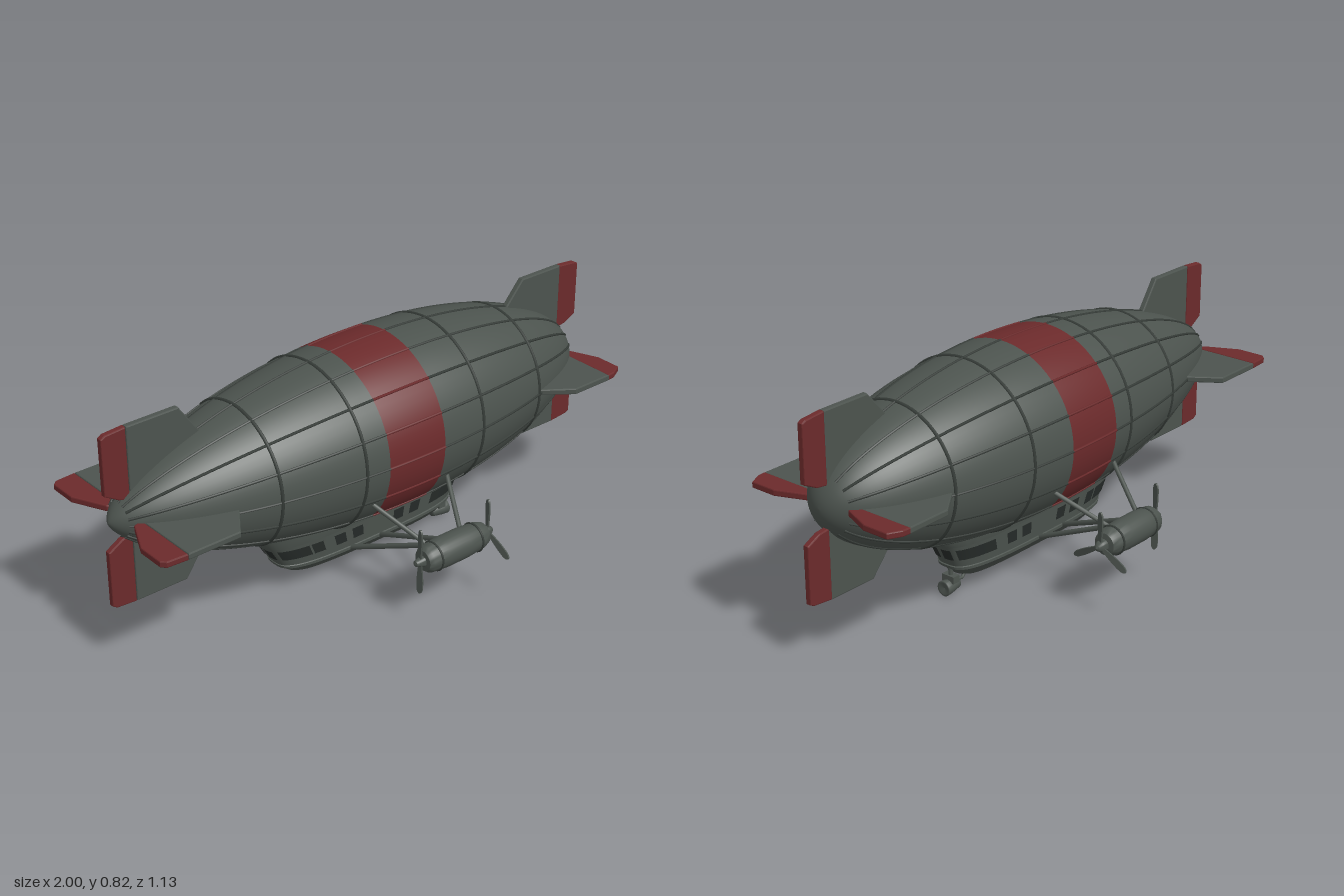
import * as THREE from 'three';
import { toCreasedNormals } from 'three/addons/utils/BufferGeometryUtils.js';

const material = (name, color, side = THREE.FrontSide) => {
  const m = new THREE.MeshStandardMaterial({ color, side });
  m.name = name;
  return m;
};

export function createModel() {
  const grey = material('hull grey', 0x4c534e);
  const dark = material('dark seam grey', 0x363c38);
  const red = material('band red', 0x6b2a2b);
  const glass = material('window dark', 0x262b29, THREE.DoubleSide);
  const model = new THREE.Group();
  model.name = 'airship';
  const AXIS = 0.505;

  const add = (parent, name, geometry, mat) => {
    const mesh = new THREE.Mesh(geometry, mat);
    mesh.name = name;
    parent.add(mesh);
    return mesh;
  };
  const V = (x, y, z) => new THREE.Vector3(x, y, z);
  // Round bar between two points
  const bar = (parent, name, a, b, r, mat = grey) => {
    const d = b.clone().sub(a);
    const mesh = add(parent, name, new THREE.CylinderGeometry(r, r, d.length(), 10), mat);
    mesh.position.copy(a).addScaledVector(d, 0.5);
    mesh.quaternion.setFromUnitVectors(V(0, 1, 0), d.normalize());
  };
  // Lathe lying along x, from [x, radius] pairs
  const latheX = (points, segments) => new THREE.LatheGeometry(
    points.map(([x, r]) => new THREE.Vector2(r, x)), segments).rotateZ(-Math.PI / 2);

  // Hull: fuller at the +x end, more tapered at the -x end
  const hull = new THREE.Group();
  hull.name = 'hull';
  hull.position.y = AXIS;
  model.add(hull);
  const hullRadius = x => {
    const t = x < 0.06 ? (x - 0.06) / 1.05 : (x - 0.06) / 0.88;
    return 0.307 * Math.pow(Math.max(0, 1 - t * t), x < 0.06 ? 0.65 : 0.5);
  };
  const hullPart = (name, x0, x1, mat, ease) => {
    const pts = [];
    for (let i = 0; i <= 32; i++) {
      const x = x0 + (x1 - x0) * ease(i / 32);
      pts.push([x, hullRadius(x)]);
    }
    add(hull, name, latheX(pts, 64), mat);
  };
  hullPart('tailEnvelope', -0.99, -0.12, grey, s => 1 - Math.cos(s * Math.PI / 2));
  hullPart('redBand', -0.12, 0.11, red, s => s);
  hullPart('noseEnvelope', 0.11, 0.94, grey, s => Math.sin(s * Math.PI / 2));

  // Hoops and lengthwise ribs
  for (const x of [-0.51, -0.21, 0.29, 0.6]) {
    const hoop = add(hull, 'hoop', new THREE.TorusGeometry(hullRadius(x), 0.006, 6, 64), dark);
    hoop.rotation.y = Math.PI / 2;
    hoop.position.x = x;
  }
  const ribPath = (x0, x1) => {
    const pts = [];
    for (let i = 0; i <= 20; i++) {
      const x = x0 + (x1 - x0) * i / 20;
      pts.push(V(x, hullRadius(x), 0));
    }
    return new THREE.TubeGeometry(new THREE.CatmullRomCurve3(pts), 30, 0.0045, 6);
  };
  const ribs = [['tailRib', ribPath(-0.95, -0.12), dark], ['bandRib', ribPath(-0.12, 0.11), red],
    ['noseRib', ribPath(0.11, 0.9), dark]];
  for (let i = 0; i < 16; i++)
    for (const [name, geo, mat] of ribs) add(hull, name, geo, mat).rotation.x = i * Math.PI / 8;

  // Fins: outline is [x, distance from axis]; each has a grey blade and red edge
  const plate = points => {
    const shape = new THREE.Shape(points.map(p => new THREE.Vector2(...p)));
    return new THREE.ExtrudeGeometry(shape, { depth: 0.014, bevelEnabled: true,
      bevelSize: 0.004, bevelThickness: 0.004, bevelOffset: -0.004, bevelSegments: 2 }).translate(0, 0, -0.007);
  };
  const tailBlade = [[-0.6, 0.13], [-0.65, 0.21], [-0.72, 0.31], [-0.91, 0.31], [-0.91, 0.04]];
  const fins = [
    ['tailFin', [0, 2], tailBlade,
      [[-0.912, 0.31], [-0.985, 0.305], [-1, 0.295], [-1, 0.1], [-0.95, 0.07], [-0.912, 0.06]]],
    ['tailPlane', [1, 3], tailBlade,
      [[-0.912, 0.31], [-0.985, 0.305], [-1, 0.29], [-1, 0.19], [-0.945, 0.075], [-0.912, 0.06]]],
    ['noseFin', [0, 2], [[0.6, 0.15], [0.66, 0.23], [0.73, 0.31], [0.912, 0.31], [0.912, 0.04]],
      [[0.91, 0.31], [0.985, 0.303], [1, 0.295], [1, 0.1], [0.95, 0.075], [0.91, 0.07]]],
    ['nosePlane', [1, 3], [[0.55, 0.15], [0.6, 0.23], [0.71, 0.31], [0.872, 0.31], [0.872, 0.04]],
      [[0.87, 0.31], [0.9, 0.308], [0.945, 0.285], [0.945, 0.19], [0.9, 0.08], [0.87, 0.07]]],
  ];
  for (const [name, turns, blade, edge] of fins)
    for (const k of turns) {
      const fin = new THREE.Group();
      fin.name = name;
      fin.rotation.x = k * Math.PI / 2;
      add(fin, name + 'Blade', plate(blade), grey);
      add(fin, name + 'Edge', plate(edge), red);
      hull.add(fin);
    }

  // Gondola: rounded plan section lofted over height; rows are [y, xMin, xMax, halfWidth]
  const N = 3.2;
  const rows = [[0.05, -0.2, 0.24, 0.02], [0.052, -0.29, 0.31, 0.05], [0.07, -0.325, 0.35, 0.073],
    [0.095, -0.36, 0.375, 0.087], [0.1, -0.368, 0.385, 0.096], [0.11, -0.372, 0.388, 0.096],
    [0.112, -0.37, 0.384, 0.092], [0.195, -0.42, 0.425, 0.099], [0.197, -0.425, 0.432, 0.105],
    [0.225, -0.44, 0.45, 0.11], [0.28, -0.46, 0.465, 0.11]];
  const rowAt = y => {
    let i = 0;
    while (i < rows.length - 2 && rows[i + 1][0] < y) i++;
    const [a, b] = [rows[i], rows[i + 1]], s = (y - a[0]) / (b[0] - a[0]);
    return a.map((v, k) => v + (b[k] - v) * s);
  };
  const skin = (t0, t1, steps, levels, offset) => {
    const pos = [], index = [], w = steps + 1;
    for (const level of levels) {
      const [y, x0, x1, hz] = rowAt(level);
      for (let i = 0; i <= steps; i++) {
        const t = t0 + (t1 - t0) * i / steps, c = Math.cos(t), s = Math.sin(t);
        pos.push((x0 + x1) / 2 + Math.sign(c) * Math.abs(c) ** (2 / N) * ((x1 - x0) / 2 + offset), y,
          Math.sign(s) * Math.abs(s) ** (2 / N) * (hz + offset));
      }
    }
    for (let j = 0; j < levels.length - 1; j++)
      for (let i = 0; i < steps; i++) {
        const a = j * w + i;
        index.push(a, a + w, a + 1, a + 1, a + w, a + w + 1);
      }
    const geo = new THREE.BufferGeometry();
    geo.setAttribute('position', new THREE.Float32BufferAttribute(pos, 3));
    geo.setIndex(index);
    geo.computeVertexNormals();
    return geo;
  };
  const gondola = new THREE.Group();
  gondola.name = 'gondola';
  model.add(gondola);
  add(gondola, 'gondolaBody', toCreasedNormals(skin(0, Math.PI * 2, 72, rows.map(r => r[0]), 0), 0.6), grey);
  const keel = new THREE.Shape();
  keel.absellipse(0.02, 0, 0.22, 0.02, 0, Math.PI * 2);
  add(gondola, 'gondolaFloor', new THREE.ShapeGeometry(keel, 24).rotateX(Math.PI / 2).translate(0, 0.05, 0), grey);
  const pane = (name, t0, t1) => add(gondola, name, skin(t0, t1, 4, [0.14, 0.182], 0.003), glass);
  // Side windows by fraction of length, end windows by fraction of width
  const tx = u => Math.acos(Math.sign(u) * Math.abs(u) ** (N / 2));
  const tz = v => Math.asin(Math.sign(v) * Math.abs(v) ** (N / 2));
  for (const u of [-0.78, -0.62, -0.4, -0.22, 0.22, 0.4, 0.64, 0.8])
    for (const s of [1, -1]) pane('sideWindow', s * tx(u - 0.055), s * tx(u + 0.055));
  for (const v of [-0.72, -0.25, 0.25, 0.72]) {
    pane('noseWindow', tz(v - 0.17), tz(v + 0.17));
    pane('rearWindow', Math.PI - tz(v - 0.17), Math.PI - tz(v + 0.17));
  }

  // Lamp slung beneath the front of the gondola
  const lamp = new THREE.Group();
  lamp.name = 'searchlight';
  model.add(lamp);
  bar(lamp, 'lampBracket', V(0.29, 0.06, 0), V(0.31, 0.035, 0), 0.006);
  bar(lamp, 'lampArm', V(0.31, 0.035, 0), V(0.36, 0.04, 0), 0.006);
  bar(lamp, 'lampHanger', V(0.365, 0.1, 0), V(0.365, 0.05, 0), 0.008);
  add(lamp, 'lampYoke', new THREE.BoxGeometry(0.03, 0.025, 0.05), grey).position.set(0.365, 0.055, 0);
  add(lamp, 'lampBody', latheX([[-0.032, 0], [-0.03, 0.018], [0.01, 0.025], [0.035, 0.027], [0.035, 0.02],
    [0.03, 0]], 20), grey).position.set(0.365, 0.027, 0);

  // Engine pods with struts and propellers, one on each side
  const bladeShape = new THREE.Shape();
  bladeShape.moveTo(-0.005, 0);
  bladeShape.bezierCurveTo(-0.008, 0.04, -0.013, 0.06, -0.011, 0.1);
  bladeShape.bezierCurveTo(-0.009, 0.126, 0.009, 0.126, 0.011, 0.1);
  bladeShape.bezierCurveTo(0.013, 0.06, 0.008, 0.04, 0.005, 0);
  const bladeGeo = new THREE.ExtrudeGeometry(bladeShape, { depth: 0.006, bevelEnabled: false, curveSegments: 8 })
    .translate(0, 0, -0.003).rotateY(Math.PI / 2 - 0.25);
  for (const side of [1, -1]) {
    const pod = new THREE.Group();
    pod.name = side > 0 ? 'frontEngine' : 'backEngine';
    pod.position.set(0, 0.237, side * 0.46);
    model.add(pod);
    add(pod, 'engineBody', toCreasedNormals(latheX([[-0.155, 0], [-0.15, 0.01], [-0.12, 0.019], [-0.119, 0.036],
      [-0.105, 0.046], [-0.04, 0.052], [0.05, 0.052], [0.12, 0.046], [0.142, 0.038], [0.145, 0.02],
      [0.165, 0.019], [0.18, 0.01], [0.186, 0]], 28), 0.7), grey);
    for (const x of [-0.075, 0.1])
      add(pod, 'engineRing', new THREE.TorusGeometry(0.0485, 0.004, 6, 28).rotateY(Math.PI / 2), dark).position.x = x;
    for (const [x, count] of [[0.163, 3], [-0.13, 2]])
      for (let i = 0; i < count; i++) {
        const blade = add(pod, 'propellerBlade', bladeGeo, grey);
        blade.position.x = x;
        blade.rotation.x = i * Math.PI * 2 / count;
      }
    for (const [x0, x1] of [[-0.07, -0.16], [0.07, 0.16]])
      bar(model, 'upperStrut', V(x0, 0.26, side * 0.43), V(x1, 0.37, side * 0.26), 0.008);
    for (const [x0, x1] of [[-0.04, -0.11], [0.01, 0.02]])
      bar(model, 'lowerStrut', V(x0, 0.25, side * 0.43), V(x1, 0.1, side * 0.08), 0.009);
  }
  return model;
}
